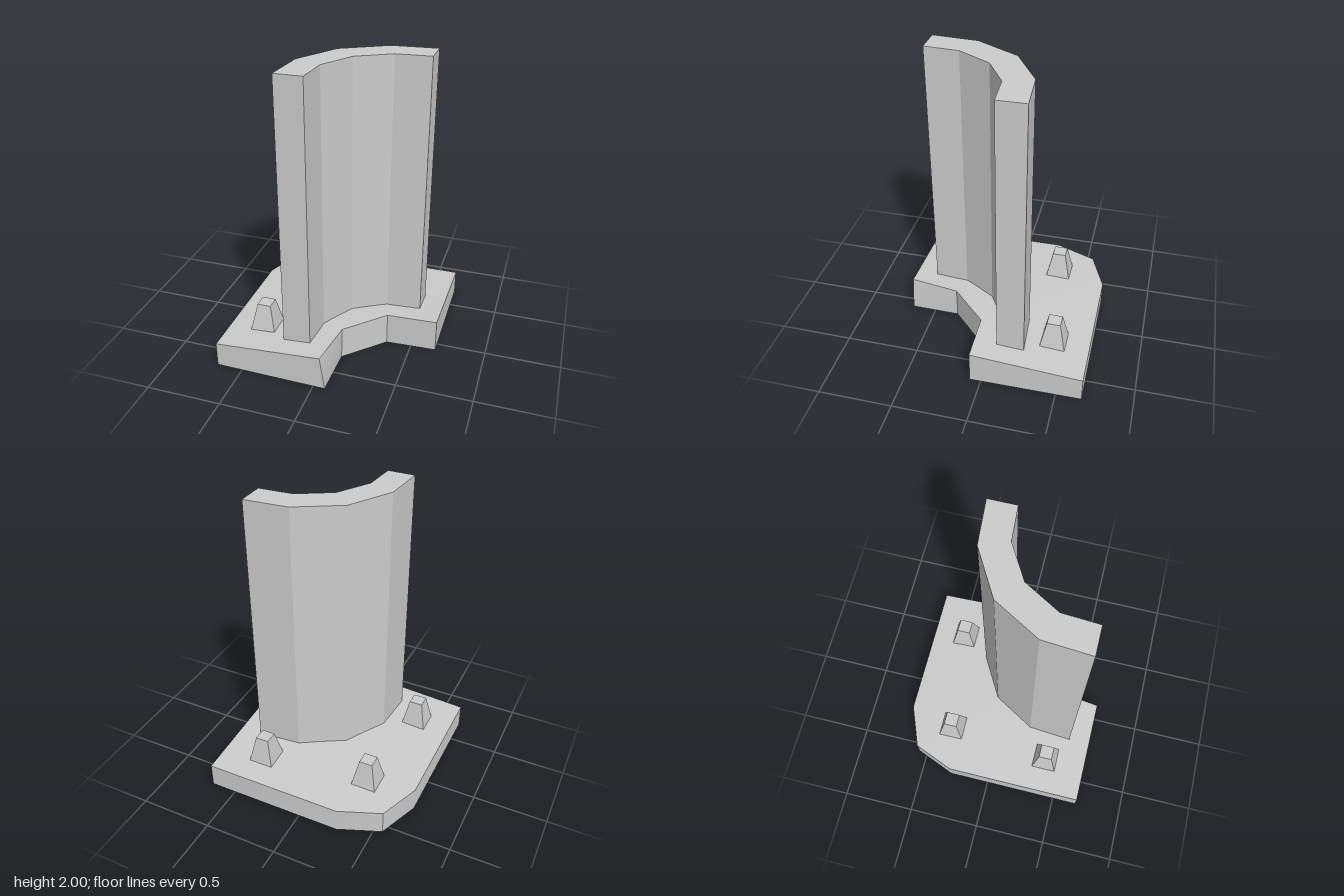
import * as THREE from 'three';
import { toCreasedNormals } from 'three/addons/utils/BufferGeometryUtils.js';

// Base rim: [top x, z, top y, bottom x, bottom y], anticlockwise from above
const RIM = [
  [0.045, 0.67, 0.23, 0.078, 0.0],
  [0.087, 0.33, 0.225, 0.083, 0.0],
  [0.332, 0.083, 0.225, 0.332, 0.0],
  [0.67, 0.073, 0.23, 0.67, 0.005],
  [0.67, -0.672, 0.18, 0.67, 0.012],
  [-0.28, -0.672, 0.18, -0.28, 0.012],
  [-0.56, -0.56, 0.18, -0.56, 0.012],
  [-0.67, -0.28, 0.18, -0.67, 0.012],
  [-0.67, 0.67, 0.18, -0.67, 0.012],
];

// Triangles folding the sloped top from the notch to the outer rim
const FACES = [[8, 0, 1], [8, 1, 7], [7, 1, 6], [6, 1, 2], [6, 2, 5], [5, 2, 4], [4, 2, 3]];

function baseGeometry() {
  const n = RIM.length;
  const pos = [];
  const index = [];
  for (const [x, z, y] of RIM) pos.push(x, y, z);
  for (const [, z, , x, y] of RIM) pos.push(x, y, z);
  for (const [a, b, c] of FACES) index.push(a, b, c, n + a, n + c, n + b);
  for (let i = 0; i < n; i++) {
    const j = (i + 1) % n;
    index.push(n + i, n + j, j, n + i, j, i);
  }
  const geo = new THREE.BufferGeometry();
  geo.setAttribute('position', new THREE.Float32BufferAttribute(pos, 3));
  geo.setIndex(index);
  return toCreasedNormals(geo, 0.5);
}

// Curved wall segment, extruded upwards from its plan
function wallGeometry(bottom, top) {
  const plan = [
    [-0.252, 0.522], [-0.07, 0.522], [-0.055, 0.29], [0.073, 0.07], [0.292, -0.057],
    [0.522, -0.073], [0.522, -0.257], [0.225, -0.233], [-0.065, -0.067], [-0.23, 0.22],
  ];
  const shape = new THREE.Shape(plan.map(([x, z]) => new THREE.Vector2(x, -z)));
  const geo = new THREE.ExtrudeGeometry(shape, { depth: top - bottom, bevelEnabled: false });
  return geo.rotateX(-Math.PI / 2).translate(0, bottom, 0);
}

export function createModel() {
  const model = new THREE.Group();
  const stone = new THREE.MeshStandardMaterial({ color: 0xcccccc });
  stone.name = 'light grey';

  const add = (name, geo) => {
    const mesh = new THREE.Mesh(geo, stone);
    mesh.name = name;
    model.add(mesh);
    return mesh;
  };

  add('base', baseGeometry());
  add('curvedWall', wallGeometry(0.19, 2));

  // Tapered square studs on the base
  const bottom = 0.18, top = 0.375;
  const stud = new THREE.CylinderGeometry(0.045 * Math.SQRT2, 0.086 * Math.SQRT2, top - bottom, 4)
    .rotateY(Math.PI / 4).toNonIndexed();
  stud.computeVertexNormals();
  [[-0.353, -0.337], [0.371, -0.43], [-0.424, 0.382]].forEach(([x, z], i) => {
    add('stud' + (i + 1), stud).position.set(x, (bottom + top) / 2, z);
  });

  return model;
}
